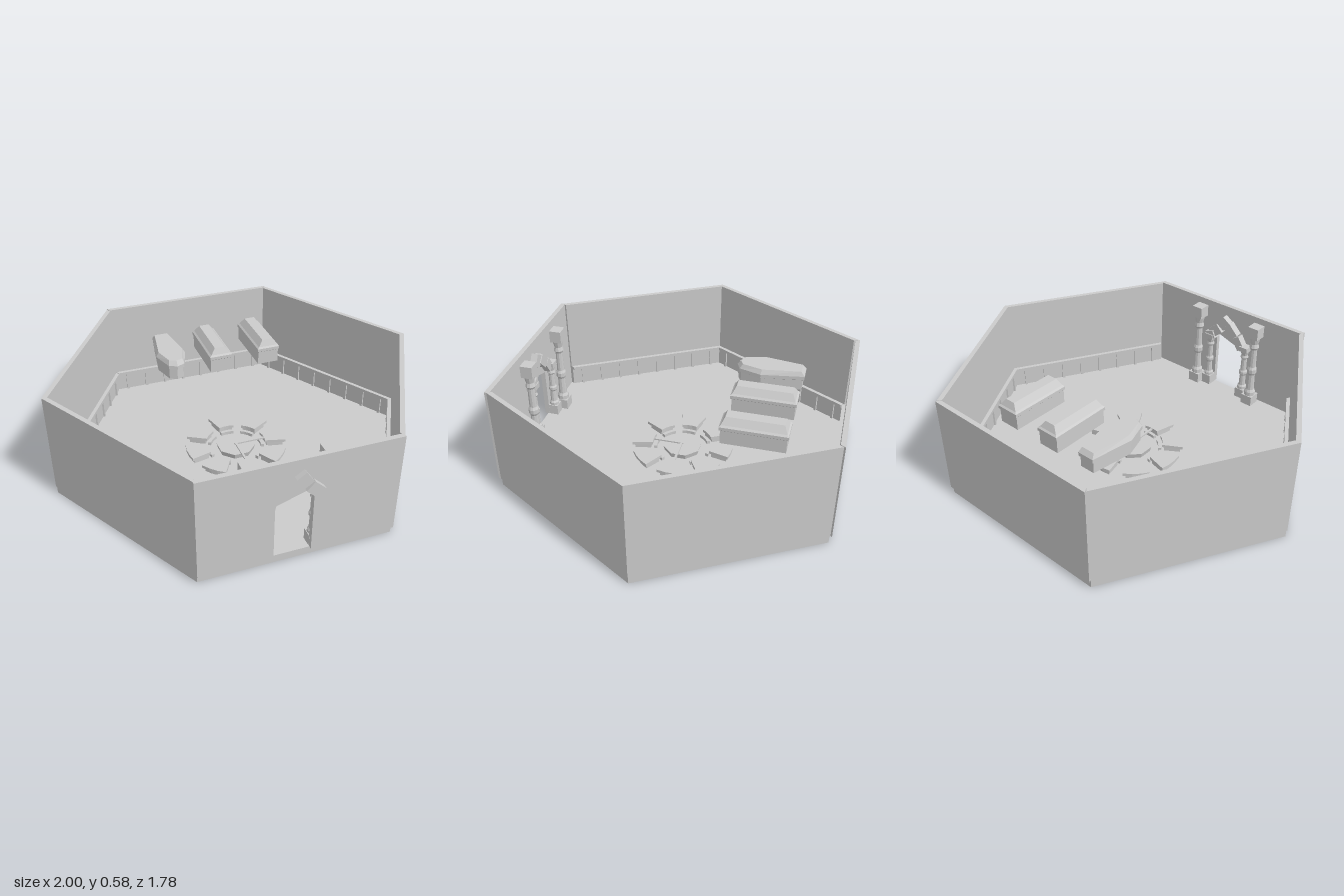
import * as THREE from 'three';

const mat = new THREE.MeshStandardMaterial({ color: 0xcccccc, flatShading: true, side: THREE.DoubleSide });
const CZ = -0.015; // centre of the hexagon in z
const FLOOR = 0.042;
const TOP = 0.585;

function add(parent, name, geo, x = 0, y = 0, z = 0) {
  const m = new THREE.Mesh(geo, mat);
  m.name = name;
  m.position.set(x, y, z);
  parent.add(m);
  return m;
}
const box = (w, h, d) => new THREE.BoxGeometry(w, h, d);
const shapeOf = (pts) => new THREE.Shape(pts.map((p) => new THREE.Vector2(...p)));

// plan outline given as [x, z], raised from y0 to y1
function prism(pts, y0, y1) {
  const g = new THREE.ExtrudeGeometry(shapeOf(pts.map(([x, z]) => [x, -z])), { depth: y1 - y0, bevelEnabled: false });
  g.rotateX(-Math.PI / 2);
  return g.translate(0, y0, 0);
}

// closed solid through equal-length rings of [x, y, z], capped at both ends
function loft(rings) {
  const n = rings[0].length, pos = rings.flat(2), idx = [];
  for (let r = 0; r < rings.length - 1; r++)
    for (let i = 0; i < n; i++) {
      const a = r * n + i, b = r * n + (i + 1) % n;
      idx.push(a, b, b + n, a, b + n, a + n);
    }
  const last = (rings.length - 1) * n;
  for (let i = 1; i < n - 1; i++) idx.push(0, i + 1, i, last, last + i, last + i + 1);
  const g = new THREE.BufferGeometry();
  g.setAttribute('position', new THREE.Float32BufferAttribute(pos, 3));
  g.setIndex(idx);
  const out = g.toNonIndexed();
  out.computeVertexNormals();
  return out;
}

// coffin: outline scaled about its centre at each [scale x, scale z, y] level
function coffin(outline, x, z, levels) {
  return loft(levels.map(([sx, sz, y]) => outline.map(([px, pz]) => [x + px * sx, y, z + pz * sz])));
}

// hexagon side strip between two corner radii; side 0 faces +z
function sideStrip(r0, r1, y0, y1) {
  const h = Math.sqrt(3) / 2;
  return prism([[-r0 / 2, r0 * h], [r0 / 2, r0 * h], [r1 / 2, r1 * h], [-r1 / 2, r1 * h]], y0, y1);
}

// turned column on a square base with a cubic head
function column(name, x, z, w, top, head) {
  const g = new THREE.Group();
  g.name = name;
  const y0 = FLOOR + 0.06, H = top - head - y0, r = w * 0.36;
  add(g, 'columnBase', box(w, 0.06, w), 0, FLOOR + 0.03, 0);
  add(g, 'columnHead', box(w * 0.95, head, w * 0.95), 0, top - head / 2, 0);
  const profile = [[1.3, 0], [1.3, 0.06], [0.95, 0.1], [0.85, 0.36], [1.15, 0.4], [1.15, 0.46],
    [0.85, 0.5], [0.8, 0.8], [1.15, 0.84], [0.9, 0.9], [1.25, 1]];
  add(g, 'columnShaft', new THREE.LatheGeometry(profile.map(([a, b]) => new THREE.Vector2(a * r, y0 + b * H)), 10));
  g.position.set(x, 0, z);
  return g;
}

export function createModel() {
  const root = new THREE.Group();
  root.name = 'hexagonalCrypt';

  // floor slab
  const slab = new THREE.CylinderGeometry(0.995, 0.995, FLOOR, 6).rotateY(Math.PI / 6);
  add(root, 'floor', slab, 0, FLOOR / 2, CZ);

  // five plain walls with a low panelled wainscot
  for (let k = 1; k < 6; k++) {
    const side = new THREE.Group();
    side.name = 'wallSide';
    add(side, 'wall', sideStrip(1, 0.972, FLOOR, TOP));
    add(side, 'wainscot', sideStrip(0.972, 0.962, FLOOR, 0.145));
    add(side, 'wainscotRail', sideStrip(0.972, 0.948, 0.145, 0.163));
    for (let i = 0; i < 8; i++)
      add(side, 'wainscotPost', box(0.014, 0.103, 0.012), -0.42 + i * 0.12, 0.0935, 0.829);
    side.rotation.y = k * Math.PI / 3;
    side.position.z = CZ - (k === 3 ? 0.008 : 0);
    root.add(side);
  }

  // front wall with the pointed doorway
  const front = shapeOf([[-0.5, FLOOR], [-0.13, FLOOR], [-0.13, 0.33]]);
  front.quadraticCurveTo(-0.12, 0.42, -0.02, 0.48);
  front.lineTo(0.06, 0.42);
  [[0.06, FLOOR], [0.5, FLOOR], [0.5, TOP], [-0.5, TOP]].forEach((p) => front.lineTo(...p));
  add(root, 'frontWall', new THREE.ExtrudeGeometry(front, { depth: 0.026, bevelEnabled: false, curveSegments: 6 }), 0, 0, 0.837);
  const infill = shapeOf([[-0.14, 0.33], [0.07, 0.4], [0.07, 0.43], [-0.02, 0.49], [-0.1, 0.44]]);
  add(root, 'archInfill', new THREE.ExtrudeGeometry(infill, { depth: 0.012, bevelEnabled: false }), 0, 0, 0.832);

  // columns beside the doorway
  for (const x of [-0.235, 0.16]) root.add(column('outerColumn', x, 0.785, 0.07, 0.56, 0.07));
  for (const x of [-0.16, 0.088]) root.add(column('innerColumn', x, 0.812, 0.058, 0.39, 0.03));

  // arch stones: [x, y, z, width, height, depth, tilt]
  const stones = [
    [0.055, 0.42, 0.845, 0.075, 0.06, 0.09, -0.75],
    [0.0, 0.485, 0.845, 0.055, 0.07, 0.09, 0.6],
    [0.085, 0.385, 0.815, 0.06, 0.05, 0.05, -0.4],
    [-0.055, 0.455, 0.82, 0.085, 0.055, 0.05, 0.8],
    [-0.115, 0.395, 0.82, 0.08, 0.05, 0.05, 1.0],
  ];
  for (const [x, y, z, w, h, d, t] of stones) add(root, 'archStone', box(w, h, d), x, y, z).rotation.z = t;

  // two rectangular coffins and one tapered coffin, raised above the floor
  const rect = [[-0.065, 0.17], [0.065, 0.17], [0.065, -0.17], [-0.065, -0.17]];
  const lidded = [[0.92, 0.96, 0.39], [0.92, 0.96, 0.465], [1, 1, 0.47], [1, 1, 0.487], [0.85, 0.95, 0.495], [0.45, 0.85, 0.53]];
  for (const x of [0.012, 0.296]) add(root, 'rectangularCoffin', coffin(rect, x, -0.455, lidded));
  const tapered = [[-0.045, 0.165], [0, 0.185], [0.045, 0.165], [0.083, 0.045], [0.045, -0.185], [-0.045, -0.185], [-0.083, 0.045]];
  add(root, 'taperedCoffin', coffin(tapered, -0.248, -0.445,
    [[0.9, 0.95, 0.4], [0.9, 0.95, 0.46], [1, 1, 0.465], [1, 1, 0.485], [0.82, 0.9, 0.51]]));

  // low round table with two thin rods
  add(root, 'table', new THREE.CylinderGeometry(0.108, 0.1, 0.03, 8).rotateY(Math.PI / 8), 0, FLOOR + 0.015, CZ);
  add(root, 'rod', box(0.012, 0.008, 0.22), 0, 0.078, 0.09);
  add(root, 'rod', box(0.22, 0.008, 0.012), 0.1, 0.078, -0.01);

  // ring of fan-shaped seats
  const fan = (r0, r1, half) => {
    const s = [-1, -0.33, 0.33, 1].map((t) => t * half);
    return [...s.map((a) => [r1 * Math.sin(a), r1 * Math.cos(a)]),
      ...s.reverse().map((a) => [r0 * Math.sin(a), r0 * Math.cos(a)])];
  };
  for (let k = 0; k < 8; k++) {
    const seat = new THREE.Group();
    seat.name = 'seat';
    add(seat, 'seatTop', prism(fan(0.165, 0.28, 0.26), 0.068, 0.084));
    add(seat, 'seatFoot', prism(fan(0.175, 0.265, 0.22), FLOOR, 0.068));
    add(seat, 'footRest', prism(fan(0.142, 0.16, 0.26), FLOOR, 0.06));
    seat.rotation.y = k * Math.PI / 4;
    seat.position.z = CZ;
    root.add(seat);
  }
  return root;
}
